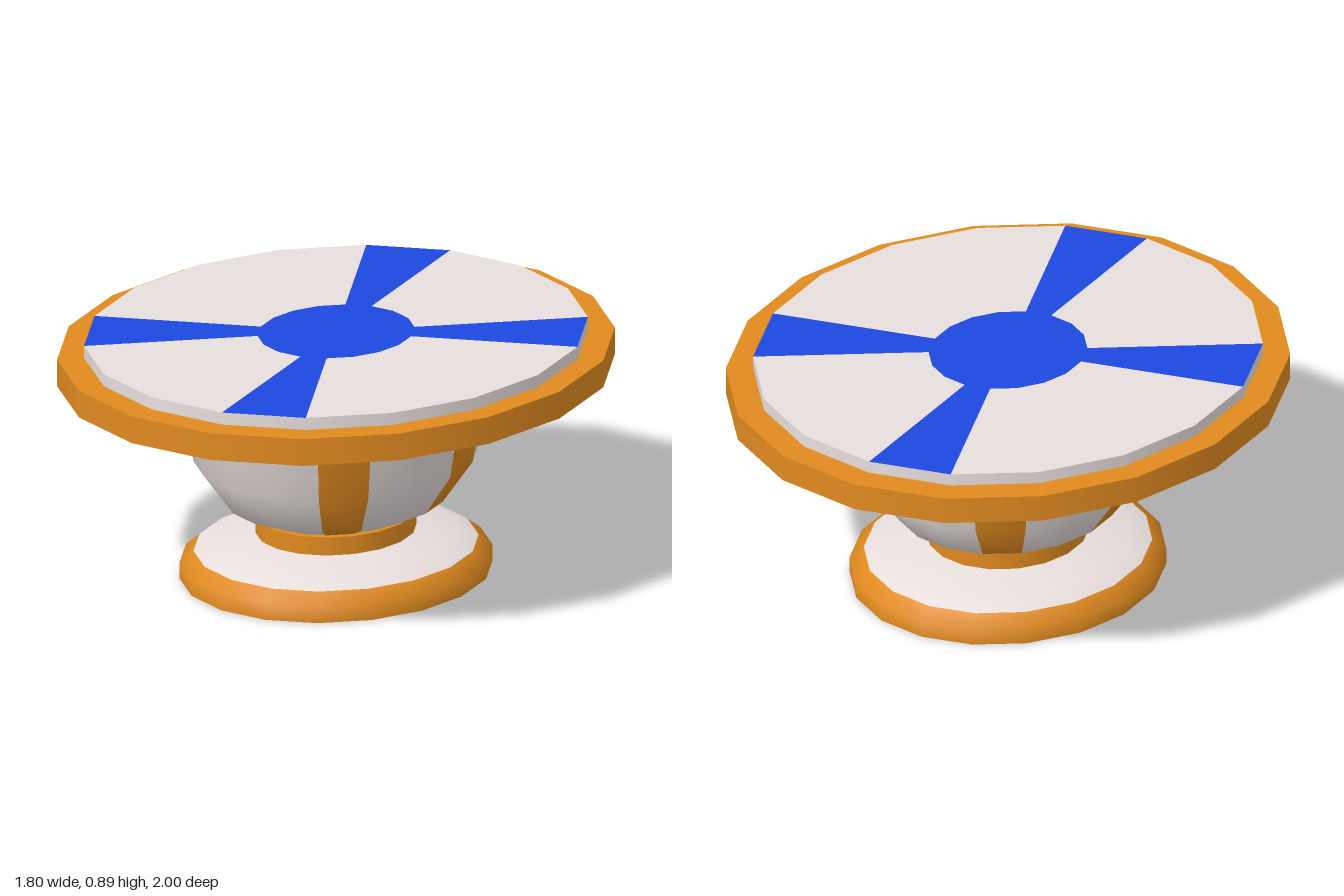
import * as THREE from 'three';
import { mergeGeometries } from 'three/addons/utils/BufferGeometryUtils.js';

const SIDES = 18;
const STEP = (Math.PI * 2) / SIDES;
const STRETCH = 1.128; // the plan is an oval, longer along z

const orange = new THREE.MeshStandardMaterial({ color: 0xe08a20 });
const white = new THREE.MeshStandardMaterial({ color: 0xe8dfdd });
const blue = new THREE.MeshStandardMaterial({ color: 0x1d48e0 });

// Turns each [radius, height] profile through the given facets; separate profiles meet in a sharp edge.
function turn(profiles, first = 0, count = SIDES) {
  const geometry = mergeGeometries(profiles.map((profile) => new THREE.LatheGeometry(
    profile.map(([r, y]) => new THREE.Vector2(r, y)),
    count, Math.PI / 2 + first * STEP, count * STEP)));
  return geometry.scale(1, 1, STRETCH);
}

function part(name, geometry, material) {
  const mesh = new THREE.Mesh(geometry, material);
  mesh.name = name;
  return mesh;
}

// One profile, with the listed facets in the accent material and the rest in the main one.
function striped(profiles, accents, mainName, main, accentName, accent) {
  const pick = (wanted) => mergeGeometries(
    [...Array(SIDES).keys()].filter((k) => accents.includes(k) === wanted)
      .map((k) => turn(profiles, k, 1)));
  return [part(mainName, pick(false), main), part(accentName, pick(true), accent)];
}

export function createModel() {
  const model = new THREE.Group();
  model.name = 'pedestalTable';

  // Foot: orange rim with a shallow white dome on it
  model.add(part('footRim', turn([
    [[0, 0], [0.505, 0]],
    [[0.505, 0], [0.505, 0.06], [0.46, 0.1]],
  ]), orange));
  model.add(part('footDome', turn([
    [[0.46, 0.1], [0.39, 0.132], [0.26, 0.155]],
  ]), white));

  // Neck between foot and bowl
  model.add(part('neck', turn([
    [[0.26, 0.155], [0.26, 0.222]],
    [[0.26, 0.222], [0, 0.222]],
  ]), orange));

  // Bowl with four stripes, closed on top
  const bowl = new THREE.Group();
  bowl.name = 'bowl';
  bowl.add(...striped(
    [[[0.23, 0.218], [0.36, 0.28], [0.46, 0.435], [0.505, 0.72]]],
    [1, 7, 10, 16], 'bowlWall', white, 'bowlStripes', orange));
  bowl.add(part('bowlLid', turn([[[0.505, 0.72], [0, 0.72]]]), white));
  model.add(bowl);

  // Table top: orange rim, raised panel, blue spokes and hub
  const top = new THREE.Group();
  top.name = 'tableTop';
  top.add(part('topRim', turn([
    [[0, 0.745], [0.9, 0.745]],
    [[0.9, 0.745], [0.9, 0.845]],
    [[0.9, 0.845], [0.8, 0.845]],
  ]), orange));
  top.add(part('panelEdge', turn([[[0.813, 0.845], [0.813, 0.89]]]), white));
  top.add(...striped([[[0.813, 0.89], [0.253, 0.89]]],
    [2, 6, 11, 15], 'panel', white, 'spokes', blue));
  top.add(part('hub', turn([[[0.253, 0.89], [0, 0.89]]]), blue));
  model.add(top);

  return model;
}
